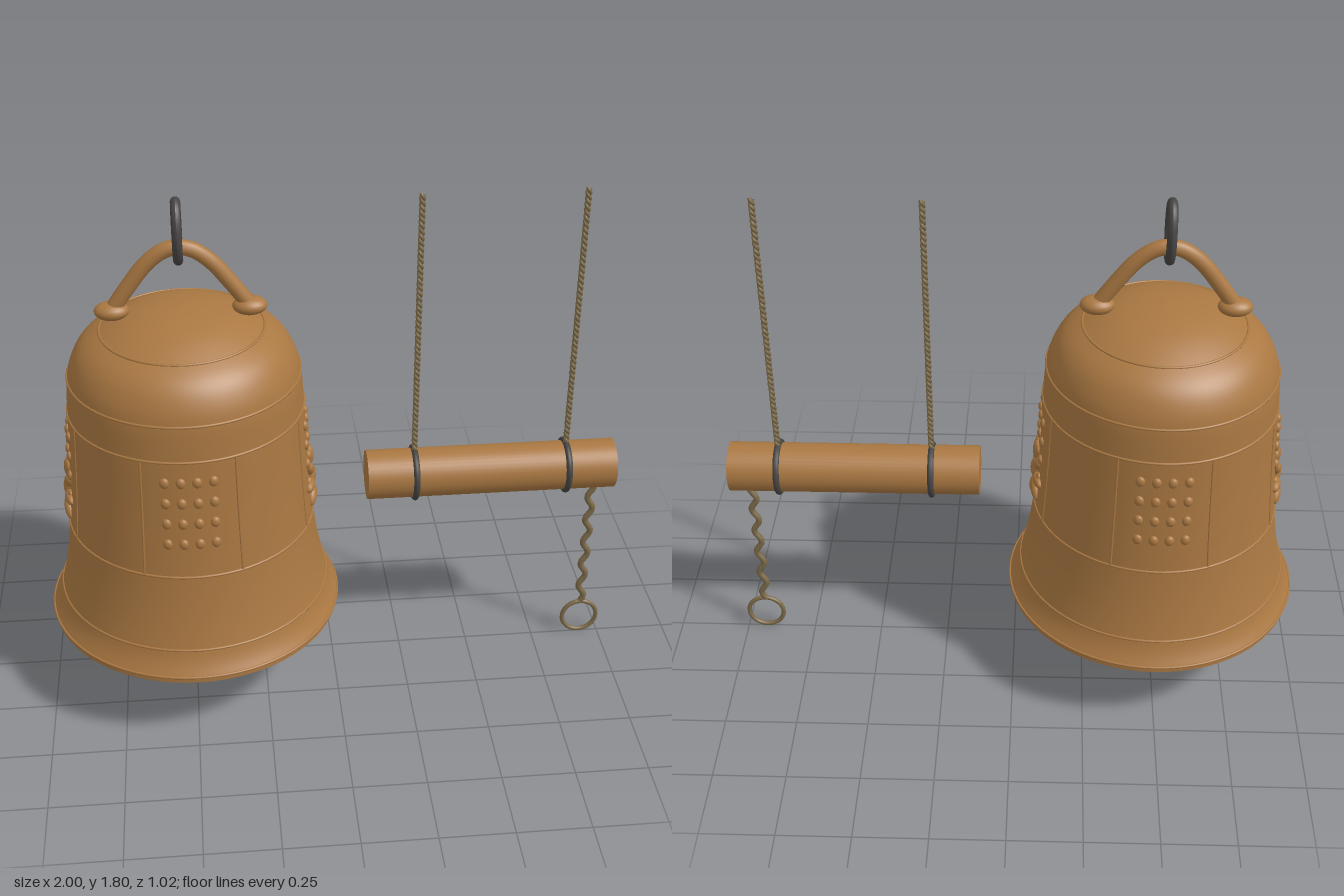
import * as THREE from 'three';

const mat = (name, color) => {
  const m = new THREE.MeshStandardMaterial({ color });
  m.name = name;
  return m;
};
const V2 = (x, y) => new THREE.Vector2(x, y);
const V3 = (x, y, z) => new THREE.Vector3(x, y, z);

export function createModel() {
  const bronze = mat('bronze', 0xaa7842);
  const iron = mat('iron', 0x484644);
  const rope = mat('rope', 0x7d6b4a);

  const model = new THREE.Group();
  model.name = 'hangingBellWithStriker';
  const bell = new THREE.Group();
  bell.name = 'bell';
  bell.position.x = -0.488;
  model.add(bell);

  const add = (parent, name, geometry, material, x = 0, y = 0, z = 0) => {
    const mesh = new THREE.Mesh(geometry, material);
    mesh.name = name;
    mesh.position.set(x, y, z);
    parent.add(mesh);
    return mesh;
  };

  // Bell wall: smooth outer profile, plain rim and offset inner wall
  const profile = new THREE.SplineCurve([
    V2(0.502, 0.31), V2(0.482, 0.345), V2(0.466, 0.39), V2(0.441, 0.5), V2(0.42, 0.65),
    V2(0.403, 0.88), V2(0.393, 1.08), V2(0.384, 1.2), V2(0.362, 1.27), V2(0.325, 1.322),
    V2(0.265, 1.362), V2(0.18, 1.402), V2(0.09, 1.423), V2(0, 1.43),
  ]).getPoints(60);
  profile[60].x = 0;
  const inner = profile.map((p) => V2(Math.max(0, p.x - 0.045), p.y - (p.y > 1.2 ? 0.04 : (p.y - 0.29) * 0.044)));
  inner[0].y = 0.286;
  add(bell, 'outerWall', new THREE.LatheGeometry(profile, 72), bronze);
  add(bell, 'innerWall', new THREE.LatheGeometry(inner.reverse(), 72), bronze);
  add(bell, 'lipBottom', new THREE.LatheGeometry([V2(0.457, 0.286), V2(0.503, 0.286)], 72), bronze);
  add(bell, 'lipSide', new THREE.LatheGeometry([V2(0.503, 0.286), V2(0.503, 0.311)], 72), bronze);

  // Outer radius at a given height
  const radiusAt = (y) => {
    const i = Math.max(1, profile.findIndex((p) => p.y >= y));
    const a = profile[i - 1], b = profile[i];
    return a.x + (b.x - a.x) * (y - a.y) / (b.y - a.y);
  };

  // Raised horizontal lines
  for (const y of [0.307, 0.392, 0.657, 1.08, 1.203, 1.36]) {
    const ring = add(bell, 'raisedLine', new THREE.TorusGeometry(radiusAt(y), 0.0045, 8, 72), bronze, 0, y);
    ring.rotation.x = Math.PI / 2;
  }

  // Vertical panel ribs follow the wall
  for (let i = 0; i < 8; i++) {
    const a = (i + 0.5) * Math.PI / 4;
    const points = [0.66, 0.77, 0.88, 0.98, 1.08].map((y) =>
      V3(Math.sin(a) * radiusAt(y), y, Math.cos(a) * radiusAt(y)));
    add(bell, 'panelRib', new THREE.TubeGeometry(new THREE.CatmullRomCurve3(points), 10, 0.004, 8), bronze);
  }

  // Four fields of sixteen knobs, with flowers on the two striking sides
  const knobShape = new THREE.SphereGeometry(1, 14, 10);
  for (let side = 0; side < 4; side++) {
    const field = new THREE.Group();
    field.name = 'knobField';
    field.rotation.y = side * Math.PI / 2;
    bell.add(field);
    for (let row = 0; row < 4; row++) {
      for (let col = 0; col < 4; col++) {
        const y = 1.007 - row * 0.075, r = radiusAt(y);
        const a = Math.asin((col - 1.5) * 0.052 / r);
        const knob = add(field, 'knob', knobShape, bronze, Math.sin(a) * r, y, Math.cos(a) * r);
        knob.scale.set(0.016, 0.019, 0.012);
        knob.rotation.y = a;
      }
    }
    if (side % 2 === 0) continue;
    const cy = 0.768;
    for (let i = 0; i < 8; i++) {
      const t = i * Math.PI / 4, x = Math.cos(t) * 0.075, y = cy + Math.sin(t) * 0.075;
      const r = radiusAt(y);
      const petal = add(field, 'petal', new THREE.SphereGeometry(1, 16, 10), bronze, x, y, Math.sqrt(r * r - x * x) + 0.002);
      petal.scale.set(0.041, 0.021, 0.018);
      petal.rotation.order = 'YXZ';
      petal.rotation.set(0, Math.asin(x / r), t);
    }
    const heart = add(field, 'flowerCentre', new THREE.SphereGeometry(1, 20, 12), bronze, 0, cy, radiusAt(cy));
    heart.scale.set(0.04, 0.04, 0.022);
  }

  // Arched handle with rounded feet
  const arch = new THREE.CatmullRomCurve3([
    V3(-0.222, 1.425, 0), V3(-0.17, 1.5, 0), V3(-0.1, 1.588, 0), V3(-0.045, 1.628, 0), V3(0, 1.638, 0),
    V3(0.045, 1.628, 0), V3(0.1, 1.588, 0), V3(0.17, 1.5, 0), V3(0.222, 1.425, 0),
  ]);
  add(bell, 'handle', new THREE.TubeGeometry(arch, 48, 0.026, 14), bronze);
  for (const s of [-1, 1]) {
    const foot = add(bell, 'handleFoot', new THREE.SphereGeometry(1, 24, 14), bronze, s * 0.222, 1.425);
    foot.scale.set(0.057, 0.03, 0.045);
  }

  // Oval hanging ring
  const hanger = add(bell, 'hangingRing', new THREE.TorusGeometry(0.06, 0.016, 12, 40), iron, 0, 1.692);
  const pos = hanger.geometry.attributes.position;
  for (let i = 0; i < pos.count; i++) {
    const a = Math.atan2(pos.getY(i), pos.getX(i));
    pos.setY(i, pos.getY(i) + Math.sin(a) * 0.037);
  }
  hanger.geometry.computeVertexNormals();
  hanger.rotation.y = Math.PI / 2;

  // Striking beam
  const striker = new THREE.Group();
  striker.name = 'striker';
  model.add(striker);
  const beam = add(striker, 'beam', new THREE.CylinderGeometry(0.086, 0.086, 0.87, 40), bronze, 0.555, 0.75);
  beam.rotation.z = Math.PI / 2;

  // Iron bands and two-strand ropes
  for (const x of [0.287, 0.819]) {
    const band = add(striker, 'beamBand', new THREE.TorusGeometry(0.088, 0.011, 10, 40), iron, x, 0.75);
    band.rotation.y = Math.PI / 2;
    for (const phase of [0, Math.PI]) {
      const points = [];
      for (let i = 0; i <= 240; i++) {
        const a = phase + i * Math.PI / 5;
        points.push(V3(x + Math.cos(a) * 0.004, 0.84 + 0.95 * i / 240, Math.sin(a) * 0.004));
      }
      add(striker, 'ropeStrand', new THREE.TubeGeometry(new THREE.CatmullRomCurve3(points), 480, 0.007, 8), rope);
    }
  }

  // Wavy pull cord and its ring
  const cord = [];
  for (let i = 0; i <= 60; i++) {
    const t = i / 60;
    cord.push(V3(0.926 + Math.sin(t * Math.PI * 11) * 0.011, 0.68 - t * 0.535, 0));
  }
  add(striker, 'pullCord', new THREE.TubeGeometry(new THREE.CatmullRomCurve3(cord), 120, 0.011, 8), rope);
  add(striker, 'pullRing', new THREE.TorusGeometry(0.064, 0.008, 10, 40), rope, 0.928, 0.077);

  return model;
}
